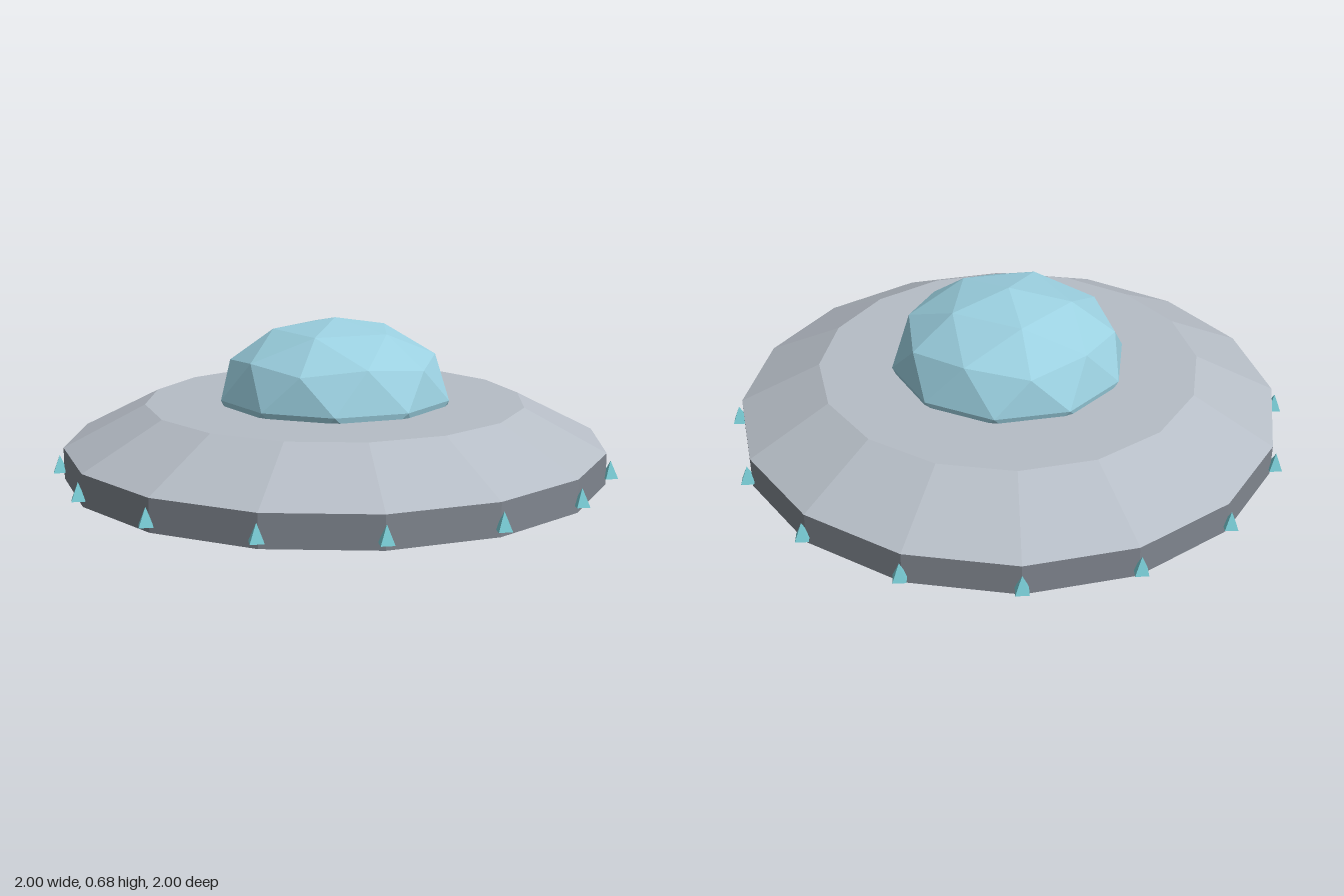
import * as THREE from 'three';

const flat = (name, color) => {
  const m = new THREE.MeshStandardMaterial({ color, flatShading: true });
  m.name = name;
  return m;
};

export function createModel() {
  const model = new THREE.Group();
  model.name = 'flyingSaucer';

  const hullGrey = flat('hull grey', 0xb6bdc6);
  const rimGrey = flat('rim grey', 0x80868f);
  const bellyGrey = flat('belly grey', 0xa2a4a8);
  const legGrey = flat('leg grey', 0x8c8c95);
  const glassBlue = flat('glass blue', 0x9bd0e0);
  const lightCyan = flat('light cyan', 0x79cdd6);

  const add = (name, geometry, material, x = 0, y = 0, z = 0) => {
    const mesh = new THREE.Mesh(geometry, material);
    mesh.name = name;
    mesh.position.set(x, y, z);
    model.add(mesh);
    return mesh;
  };
  // Faceted solid of revolution; the profile runs from bottom to top
  const turned = (points, sides) =>
    new THREE.LatheGeometry(points.map(([r, y]) => new THREE.Vector2(r, y)), sides);

  // Hull: sloped upper deck, upright rim with flat underside, shallow belly
  add('upperHull', turned([[0.955, 0.24], [0.67, 0.385], [0, 0.385]], 16), hullGrey);
  add('rim', turned([[0.78, 0.13], [0.955, 0.13], [0.955, 0.24]], 16), rimGrey);
  add('belly', turned([[0, 0.035], [0.38, 0.035], [0.78, 0.13]], 16), bellyGrey);

  // Canopy: faceted ball with one corner turned straight up, then flattened
  const ball = new THREE.IcosahedronGeometry(1, 1);
  ball.rotateZ(-Math.atan(2 / (1 + Math.sqrt(5))));
  ball.scale(0.415, 0.272, 0.415);
  add('canopy', ball, glassBlue, 0, 0.404, 0);

  // Glowing disc under the belly
  add('bellyLight', new THREE.CylinderGeometry(0.24, 0.24, 0.03, 12), lightCyan, 0, 0.035, 0);

  // Small pyramid lights around the rim
  const pyramid = new THREE.ConeGeometry(0.031, 0.06, 4);
  for (let i = 0; i < 16; i++) {
    const a = (i / 16) * Math.PI * 2;
    add('rimLight', pyramid, lightCyan, 0.969 * Math.cos(a), 0.185, 0.969 * Math.sin(a));
  }

  // Three landing feet
  const foot = new THREE.CylinderGeometry(0.048, 0.077, 0.08, 8);
  for (let i = 0; i < 3; i++) {
    const a = (i / 3) * Math.PI * 2;
    add('landingFoot', foot, legGrey, 0.51 * Math.cos(a), 0.04, 0.51 * Math.sin(a));
  }

  return model;
}
